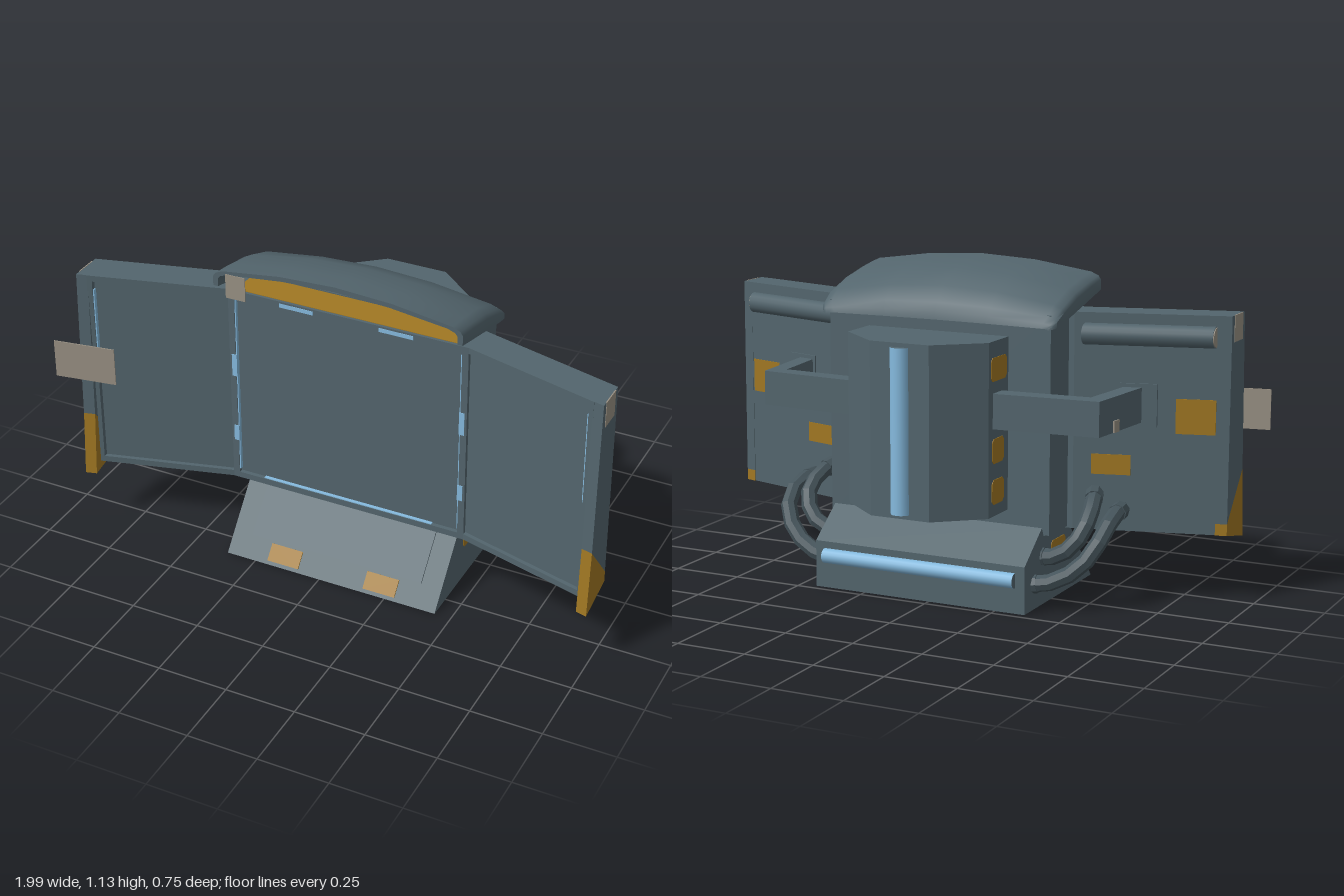
import * as THREE from 'three';
import { toCreasedNormals } from 'three/addons/utils/BufferGeometryUtils.js';

const mat = (name, color, side = THREE.FrontSide) => {
  const m = new THREE.MeshStandardMaterial({ color, side });
  m.name = name;
  return m;
};

export function createModel() {
  const root = new THREE.Group();
  root.name = 'tripleScreenConsole';
  const body = new THREE.Group();
  body.name = 'console';
  body.position.x = 0.04;
  root.add(body);

  const steel = mat('blueGreySteel', 0x53656d, THREE.DoubleSide);
  const dark = mat('darkHose', 0x45545b);
  const yellow = mat('wornYellow', 0xa07722);
  const blue = mat('paleBlueLight', 0x85bade);
  const beige = mat('beigeLabel', 0x989083, THREE.DoubleSide);

  const add = (name, geo, material) => {
    const mesh = new THREE.Mesh(geo, material);
    mesh.name = name;
    body.add(mesh);
  };
  // mirrored copy with the corner order turned back
  const mirror = (geo) => {
    const g = geo.index ? geo.toNonIndexed() : geo.clone();
    g.scale(-1, 1, 1);
    for (const a of Object.values(g.attributes)) {
      const n = a.itemSize;
      for (let i = 0; i < a.count; i += 3)
        for (let k = 0; k < n; k++) {
          const p = (i + 1) * n + k, q = (i + 2) * n + k;
          [a.array[p], a.array[q]] = [a.array[q], a.array[p]];
        }
    }
    return g;
  };
  const both = (name, geo, material) => {
    add(name + 'Left', geo, material);
    add(name + 'Right', mirror(geo), material);
  };
  const box = (x0, x1, y0, y1, z0, z1) =>
    new THREE.BoxGeometry(x1 - x0, y1 - y0, z1 - z0)
      .translate((x0 + x1) / 2, (y0 + y1) / 2, (z0 + z1) / 2);
  const shapeOf = (pts) => new THREE.Shape(pts.map(([a, b]) => new THREE.Vector2(a, b)));
  // (z, y) profile extruded along x
  const prismX = (pts, x0, x1) =>
    new THREE.ExtrudeGeometry(shapeOf(pts), { depth: x1 - x0, bevelEnabled: false })
      .rotateY(-Math.PI / 2).translate(x1, 0, 0);
  // (x, z) plan extruded upward
  const prismY = (pts, y0, y1) =>
    new THREE.ExtrudeGeometry(shapeOf(pts.map(([x, z]) => [x, -z])), { depth: y1 - y0, bevelEnabled: false })
      .rotateX(-Math.PI / 2).translate(0, y0, 0);
  // thin side plate with clipped corners
  const sideMark = (x, y0, y1, z0, z1, c = 0.012) => prismX([[z0 + c, y0], [z1 - c, y0], [z1, y0 + c],
    [z1, y1 - c], [z1 - c, y1], [z0 + c, y1], [z0, y1 - c], [z0, y0 + c]], x - 0.002, x + 0.002);
  // part of the screen slab; f runs from 0 (back) to 1 (front)
  const slab = (x0, x1, y0, y1, f0, f1) => box(x0, x1, y0, y1, 0.08 + 0.125 * f0, 0.08 + 0.125 * f1);
  // swings the wings forward while their ends stay square
  const swing = (g) => {
    const m = new THREE.Matrix4().set(1, 0, 0, 0, 0, 1, 0, 0, 0.27, 0, 1, -0.27 * 0.44, 0, 0, 0, 1);
    return g.applyMatrix4(m);
  };
  // light tube with steel ends
  const lightTube = (r, length) => new THREE.CylinderGeometry(r, r, length, 16);
  const tubeMaterials = [blue, steel, steel];

  // base shell with sloped front, open underneath
  const shell = prismX([[0.34, 0], [0.14, 0.237], [-0.07, 0.237], [-0.085, 0.268], [-0.222, 0.165], [-0.222, 0]], -0.4, 0.4);
  const sp = shell.attributes.position, open = new THREE.BufferGeometry(), kept = [];
  for (let i = 0; i < sp.count; i += 3) {
    if (Math.max(sp.getY(i), sp.getY(i + 1), sp.getY(i + 2)) < 1e-5) continue;
    for (let k = i; k < i + 3; k++) kept.push(sp.getX(k), sp.getY(k), sp.getZ(k));
  }
  open.setAttribute('position', new THREE.Float32BufferAttribute(kept, 3));
  open.computeVertexNormals();
  add('base', open, steel);
  // plates that show on both faces of the slope
  const slope = (y) => 0.34 - 0.844 * y;
  const slopePlate = (x0, x1, y0, y1, t) => prismX([[slope(y0) - t, y0 - t * 0.8], [slope(y0) + t, y0 + t * 0.8],
    [slope(y1) + t, y1 + t * 0.8], [slope(y1) - t, y1 - t * 0.8]], x0, x1);
  add('basePanel', slopePlate(-0.325, 0.325, 0.066, 0.212, 0.004), steel);
  both('baseFrontMark', slopePlate(0.125, 0.245, 0.01, 0.058, 0.003), yellow);
  both('baseSideMark', sideMark(0.4, 0.125, 0.205, -0.01, 0.11), yellow);
  both('baseSideSmallMark', sideMark(0.4, 0.055, 0.095, -0.08, -0.02), yellow);
  add('baseLight', lightTube(0.026, 0.73).rotateZ(Math.PI / 2).translate(0, 0.115, -0.224), tubeMaterials);

  // column and rear pod
  add('column', box(-0.42, 0.42, 0.24, 0.99, -0.07, 0.082), steel);
  add('rearPod', prismY([[-0.265, -0.06], [0.265, -0.06], [0.265, -0.22], [0.11, -0.35],
    [-0.11, -0.35], [-0.265, -0.22]], 0.315, 0.91), steel);
  add('rearLight', lightTube(0.036, 0.565).translate(0, 0.613, -0.339), tubeMaterials);
  for (const [y0, y1, z0, z1] of [[0.775, 0.855, -0.205, -0.085], [0.495, 0.58, -0.195, -0.105], [0.355, 0.44, -0.195, -0.105]])
    both('podMark', sideMark(0.265, y0, y1, z0, z1), yellow);

  // centre screen and its frame
  add('centreScreen', slab(-0.44, 0.44, 0.235, 0.985, 0, 0.88), steel);
  add('centreTopRail', slab(-0.44, 0.44, 0.963, 0.985, 0.88, 1), steel);
  add('centreBottomRail', slab(-0.44, 0.44, 0.235, 0.257, 0.88, 1), steel);
  both('centreSideRail', slab(0.417, 0.44, 0.257, 0.963, 0.88, 1), steel);
  both('seamLight', slab(0.413, 0.418, 0.27, 0.95, 0.87, 0.98), blue);
  both('seamLampLower', slab(0.413, 0.432, 0.39, 0.45, 0.98, 1.015), blue);
  both('seamLampUpper', slab(0.413, 0.432, 0.65, 0.735, 0.98, 1.015), blue);
  both('topRailLamp', slab(0.12, 0.245, 0.964, 0.978, 0.98, 1.015), blue);
  add('bottomRailLight', slab(-0.32, 0.32, 0.256, 0.26, 0.87, 0.98), blue);
  add('topCover', box(-0.41, 0.41, 0.98, 0.9865, 0.075, 0.195), yellow);

  // side wings
  both('wingScreen', swing(slab(0.44, 0.915, 0.235, 0.985, 0, 0.88)), steel);
  both('wingTopRail', swing(slab(0.44, 0.915, 0.963, 0.985, 0.88, 1)), steel);
  both('wingBottomRail', swing(slab(0.44, 0.915, 0.235, 0.257, 0.88, 1)), steel);
  both('wingOuterRail', swing(slab(0.897, 0.915, 0.257, 0.963, 0.88, 1)), steel);
  both('wingSeamLight', swing(slab(0.893, 0.898, 0.6, 0.93, 0.87, 0.98)), blue);
  const endProfile = (pts) => swing(prismX(pts.map(([z, y]) => [z - 0.137, y]), 0.911, 0.95));
  both('wingEndRail', endProfile([[0.34, 0.985], [0.358, 0.44], [0.214, 0.275], [0.217, 0.985]]), steel);
  both('wingCornerGuard', endProfile([[0.358, 0.44], [0.375, 0.2], [0.213, 0.235], [0.214, 0.275]]), yellow);
  both('wingEndLabel', box(0.948, 0.952, 0.895, 0.986, 0.24, 0.32), beige);
  both('wingBackMark', swing(slab(0.775, 0.905, 0.58, 0.7, -0.018, 0.01)), yellow);
  both('wingBackSmallMark', swing(slab(0.5, 0.63, 0.43, 0.5, -0.018, 0.01)), yellow);
  both('wingBottomMark', swing(slab(0.6, 0.73, 0.2335, 0.237, 0.08, 0.75)), yellow);
  const rod = (r, x0, x1) => swing(new THREE.CylinderGeometry(r, r, x1 - x0, 16)
    .rotateZ(Math.PI / 2).translate((x0 + x1) / 2, 0.912, 0.08));
  both('wingBackRod', rod(0.037, 0.475, 0.9), steel);
  both('wingRodCap', rod(0.034, 0.899, 0.903), beige);

  // bent support arms
  both('supportArm', prismY([[0.25, -0.19], [0.635, -0.16], [0.665, 0.137], [0.605, 0.13],
    [0.58, -0.1], [0.25, -0.12]], 0.615, 0.735), steel);
  both('armBracket', swing(slab(0.592, 0.715, 0.6, 0.748, -0.05, 0.05)), steel);
  both('armLabel', prismY([[0.642, -0.065], [0.65, -0.065], [0.654, -0.03], [0.645, -0.03]], 0.615, 0.655), beige);

  // ribbed hoses between base and wings
  const hoses = [
    [[0.38, 0.085, -0.145], [0.46, 0.1, -0.135], [0.55, 0.155, -0.11], [0.6, 0.235, -0.07], [0.61, 0.295, 0.01], [0.6, 0.31, 0.13]],
    [[0.38, 0.165, -0.07], [0.45, 0.175, -0.075], [0.51, 0.22, -0.065], [0.54, 0.29, -0.025], [0.53, 0.34, 0.045], [0.51, 0.362, 0.11]],
  ];
  for (const pts of hoses) {
    const curve = new THREE.CatmullRomCurve3(pts.map((p) => new THREE.Vector3(...p)));
    both('hose', toCreasedNormals(new THREE.TubeGeometry(curve, 7, 0.029, 8), 0.3), dark);
    for (const t of [0.02, 0.94]) {
      const collar = new THREE.CylinderGeometry(0.032, 0.032, 0.045, 8);
      const q = new THREE.Quaternion().setFromUnitVectors(new THREE.Vector3(0, 1, 0), curve.getTangentAt(t));
      collar.applyQuaternion(q).translate(...curve.getPointAt(t).toArray());
      both('hoseCollar', toCreasedNormals(collar, 0.3), dark);
    }
  }

  // arched hood: outer shell from rear to front, then the inner shell back
  const stations = [[-0.096, 0.952, 0.945, 0.42], [-0.09, 0.978, 0.947, 0.435], [-0.075, 1.008, 0.951, 0.445],
    [-0.03, 1.06, 0.962, 0.45], [0.08, 1.11, 0.988, 0.45], [0.2, 1.13, 1.016, 0.45], [0.28, 1.135, 1.035, 0.45]];
  const arch = [[-1, 0], [-1, 0.35], [-0.98, 0.48], [-0.92, 0.6], [-0.45, 0.9], [0, 1],
    [0.45, 0.9], [0.92, 0.6], [0.98, 0.48], [1, 0.35], [1, 0]];
  const rings = [...stations.map((s) => [...s, 0]), ...stations.slice(3).reverse().map((s) => [...s, 0.018])];
  const pos = [], idx = [], n = arch.length;
  rings.forEach(([z, top, bottom, w, t], r) => {
    for (const [u, k] of arch) pos.push(u * (w - t), bottom + k * (top - t - bottom), z);
    if (r) for (let i = 0; i < n - 1; i++) {
      const a = (r - 1) * n + i, b = a + n;
      idx.push(a, b, a + 1, a + 1, b, b + 1);
    }
  });
  const hood = new THREE.BufferGeometry();
  hood.setAttribute('position', new THREE.Float32BufferAttribute(pos, 3));
  hood.setIndex(idx);
  add('hood', toCreasedNormals(hood, 0.9), steel);

  // loose labels on the hood edge and the right wing
  add('hoodLabel', box(-0.403, -0.33, 1.0, 1.088, 0.279, 0.282), beige);
  add('wingLabel', new THREE.BoxGeometry(0.222, 0.14, 0.004).rotateY(0.16).translate(-0.93, 0.65, 0.357), beige);

  return root;
}
